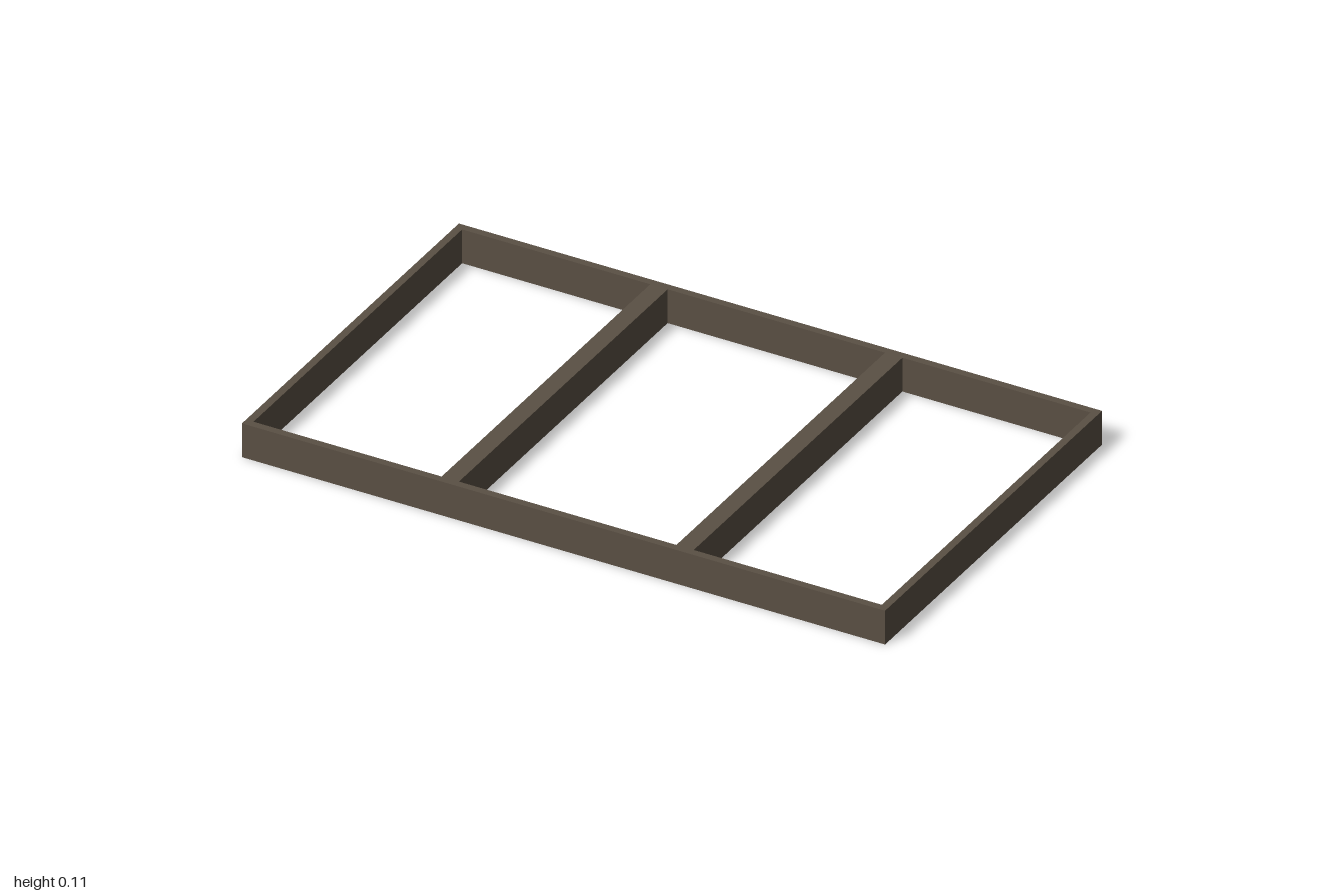
import * as THREE from 'three';

const LENGTH = 2, DEPTH = 1.2, HEIGHT = 0.107, WALL = 0.023;

export function createModel() {
  const group = new THREE.Group();
  group.name = 'openFrame';
  const wood = new THREE.MeshStandardMaterial({ color: 0x5a5044 });

  // Upright board standing on the ground
  const board = (name, width, depth, x, z) => {
    const mesh = new THREE.Mesh(new THREE.BoxGeometry(width, HEIGHT, depth), wood);
    mesh.name = name;
    mesh.position.set(x, HEIGHT / 2, z);
    group.add(mesh);
  };

  const innerDepth = DEPTH - 2 * WALL;
  for (const side of [1, -1]) {
    // Long rails at front and back
    board(side > 0 ? 'frontRail' : 'backRail', LENGTH, WALL, 0, side * (DEPTH - WALL) / 2);
    // End rails and the thicker cross beams fit between the long rails
    const label = side > 0 ? 'left' : 'right';
    board(label + 'EndRail', WALL, innerDepth, side * (LENGTH - WALL) / 2, 0);
    board(label + 'CrossBeam', 0.054, innerDepth, side * 0.365, 0);
  }
  return group;
}
